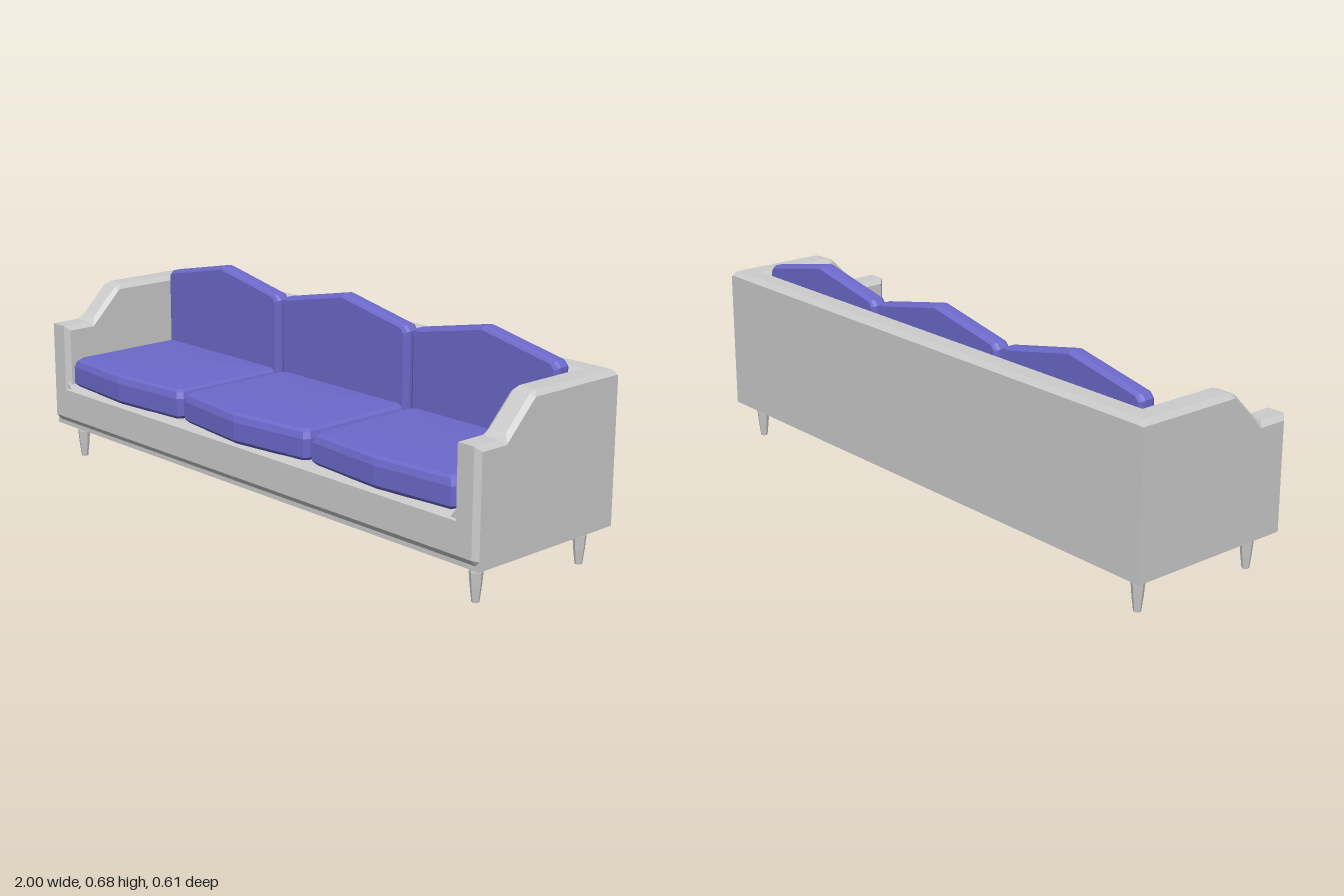
import * as THREE from 'three';

const frameMat = new THREE.MeshStandardMaterial({ color: 0xcccccc });
frameMat.name = 'light grey frame';
const cushionMat = new THREE.MeshStandardMaterial({ color: 0x6c69ca });
cushionMat.name = 'violet cushion';

// Flat-shaded solid through matching 2D rings; layers are [t, points], map places (a, b, t) in space
function loft(layers, map) {
  const rings2d = layers.map(([, pts]) => pts.map(([a, b]) => new THREE.Vector2(a, b)));
  if (THREE.ShapeUtils.area(rings2d[0]) < 0) rings2d.forEach((r) => r.reverse());
  const rings = rings2d.map((r, i) => r.map((p) => map(p.x, p.y, layers[i][0])));
  const tris = [];
  const n = rings[0].length;
  for (let i = 0; i < rings.length - 1; i++) {
    for (let j = 0; j < n; j++) {
      const k = (j + 1) % n;
      const [a, b, c, d] = [rings[i][j], rings[i][k], rings[i + 1][k], rings[i + 1][j]];
      tris.push([a, b, c], [a, c, d]);
    }
  }
  const last = rings.length - 1;
  for (const f of THREE.ShapeUtils.triangulateShape(rings2d[0], [])) {
    tris.push([rings[0][f[2]], rings[0][f[1]], rings[0][f[0]]]);
  }
  for (const f of THREE.ShapeUtils.triangulateShape(rings2d[last], [])) {
    tris.push(f.map((i) => rings[last][i]));
  }
  // Turn every face outward by the sign of the enclosed volume
  let volume = 0;
  const v = (p) => new THREE.Vector3(...p);
  for (const [a, b, c] of tris) volume += v(a).dot(v(b).cross(v(c)));
  if (volume < 0) tris.forEach((t) => t.reverse());
  const geo = new THREE.BufferGeometry();
  geo.setAttribute('position', new THREE.Float32BufferAttribute(tris.flat(2), 3));
  geo.computeVertexNormals();
  return geo;
}

const alongX = (z, y, x) => [x, y, z];
const alongY = (x, z, y) => [x, y, z];
const alongZ = (x, y, z) => [x, y, z];

// Scale a ring about a centre
const scaled = (pts, s, cx, cy) => pts.map(([a, b]) => [cx + (a - cx) * s, cy + (b - cy) * s]);

export function createModel() {
  const sofa = new THREE.Group();
  sofa.name = 'sofa';
  const add = (name, geo, mat, x = 0, y = 0, z = 0) => {
    const mesh = new THREE.Mesh(geo, mat);
    mesh.name = name;
    mesh.position.set(x, y, z);
    sofa.add(mesh);
    return mesh;
  };

  // Arms: stepped side profile (z, y) with bevelled rims
  const armFull = [[-0.305, 0.12], [0.268, 0.12], [0.268, 0.135], [0.285, 0.155], [0.285, 0.482],
    [0.185, 0.482], [0.158, 0.495], [0.065, 0.588], [0.04, 0.597], [-0.29, 0.597], [-0.305, 0.582]];
  const armInset = [[-0.305, 0.12], [0.268, 0.12], [0.268, 0.135], [0.268, 0.15], [0.268, 0.466],
    [0.172, 0.466], [0.168, 0.468], [0.058, 0.578], [0.054, 0.581], [-0.29, 0.581], [-0.305, 0.58]];
  for (const s of [-1, 1]) {
    const side = s > 0 ? 'left' : 'right';
    add(side + 'Arm', loft([[s * 0.91, armInset], [s * 0.925, armFull],
      [s * 0.985, armFull], [s, armInset]], alongX), frameMat);

    // Chamfered corner between arm and front rail
    const fillet = [[s * 0.93, 0.25], [s * 0.93, 0.3], [s * 0.895, 0.255]];
    add(side + 'CornerFillet', loft([[0.2, fillet], [0.28, fillet]], alongZ), frameMat);
  }

  // Seat base with bevelled front rail
  const base = [[-0.305, 0.12], [0.268, 0.12], [0.268, 0.135], [0.285, 0.155],
    [0.285, 0.255], [0.268, 0.272], [-0.305, 0.272]];
  add('seatBase', loft([[-0.985, base], [0.985, base]], alongX), frameMat);

  // Back panel with bevelled top
  const back = [[-0.305, 0.12], [-0.22, 0.12], [-0.22, 0.582], [-0.235, 0.597],
    [-0.29, 0.597], [-0.305, 0.582]];
  add('backPanel', loft([[-0.985, back], [0.985, back]], alongX), frameMat);

  // Tapered legs
  const legProfile = [[0, 0], [0.0115, 0], [0.017, 0.045], [0.021, 0.09], [0.0175, 0.122]]
    .map(([r, y]) => new THREE.Vector2(r, y));
  const legGeo = new THREE.LatheGeometry(legProfile, 8).toNonIndexed();
  legGeo.computeVertexNormals();
  for (const x of [-0.935, 0.935]) {
    for (const z of [0.208, -0.242]) {
      add((z > 0 ? 'front' : 'back') + (x > 0 ? 'Left' : 'Right') + 'Leg', legGeo, frameMat, x, 0, z);
    }
  }

  // Cushions: seats bow forward, backs peak upward
  const backRing = [[-0.28, 0.28], [0.28, 0.28], [0.295, 0.295], [0.295, 0.605], [0.28, 0.622],
    [0, 0.679], [-0.28, 0.622], [-0.295, 0.605], [-0.295, 0.295]];
  const backGeo = loft([
    [-0.213, scaled(backRing, 0.96, 0, 0.45)],
    [-0.207, scaled(backRing, 0.985, 0, 0.45)],
    [-0.197, backRing],
    [-0.17, backRing],
    [-0.16, scaled(backRing, 0.985, 0, 0.45)],
    [-0.154, scaled(backRing, 0.95, 0, 0.45)],
  ], alongZ);
  for (const [i, name] of [[-1, 'right'], [0, 'middle'], [1, 'left']]) {
    const peak = i === 0 ? 0.305 : 0.294;
    const seatRing = [[-0.295, -0.15], [-0.28, -0.165], [0.28, -0.165], [0.295, -0.15],
      [0.295, 0.25], [0.283, 0.27], [0, peak], [-0.283, 0.27], [-0.295, 0.25]];
    const seatGeo = loft([
      [0.27, scaled(seatRing, 0.95, 0, 0.02)],
      [0.284, seatRing],
      [0.342, seatRing],
      [0.362, scaled(seatRing, 0.975, 0, 0.02)],
      [0.37, scaled(seatRing, 0.94, 0, 0.02)],
      [0.378, scaled(seatRing, 0.4, 0, 0.02)],
    ], alongY);
    add(name + 'SeatCushion', seatGeo, cushionMat, i * 0.607);
    add(name + 'BackCushion', backGeo, cushionMat, i * 0.605);
  }
  return sofa;
}
